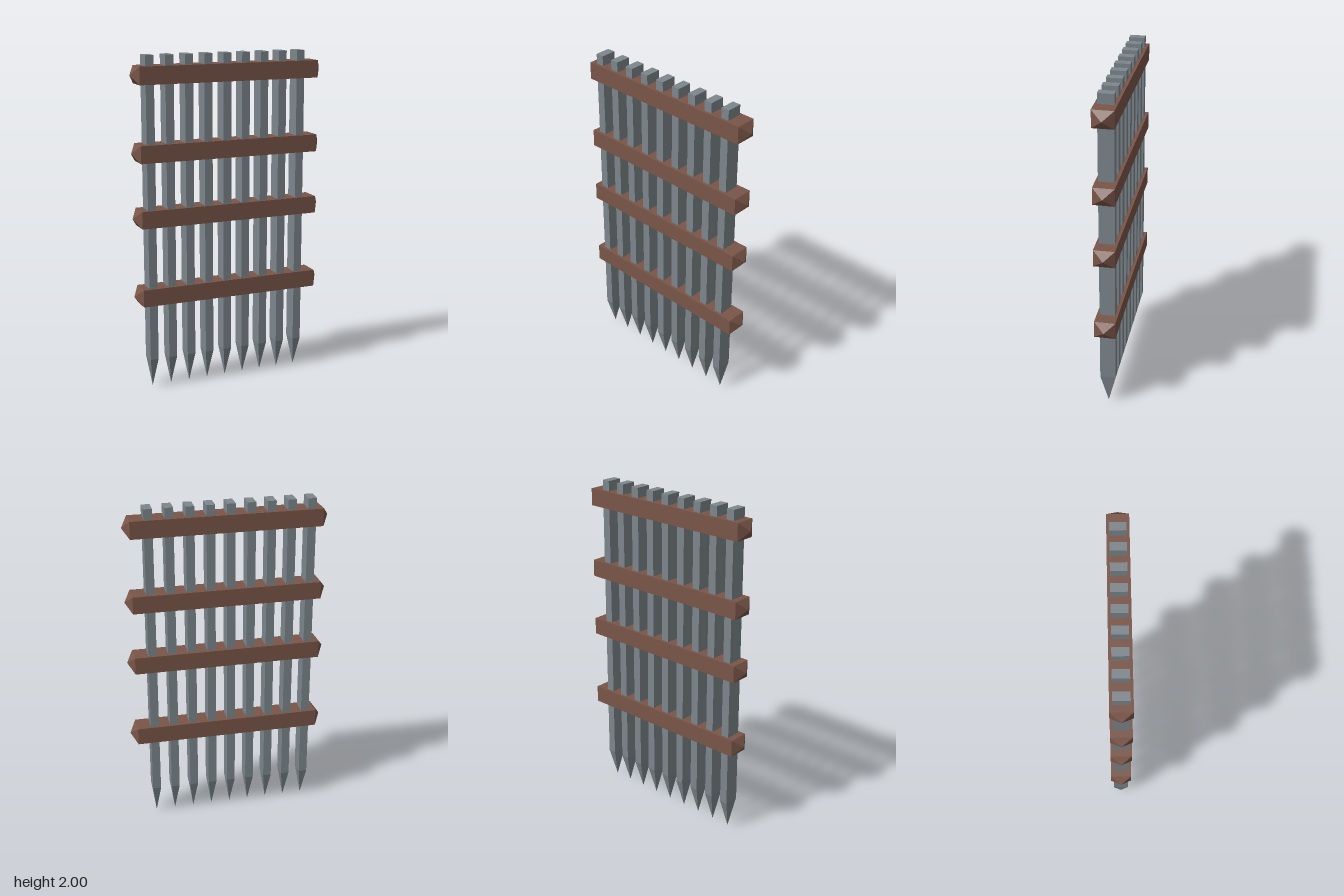
import * as THREE from 'three';

export function createModel() {
  const model = new THREE.Group();
  model.name = 'portcullis';

  const iron = new THREE.MeshStandardMaterial({ color: 0x7d868c, flatShading: true });
  iron.name = 'grey iron';
  const wood = new THREE.MeshStandardMaterial({ color: 0x795548, flatShading: true });
  wood.name = 'brown wood';

  // Open pyramid with a w x d base at y = 0 and its point at y = h
  const pyramid = (w, d, h) =>
    new THREE.ConeGeometry(Math.SQRT1_2, 1, 4, 1, true)
      .rotateY(Math.PI / 4)
      .translate(0, 0.5, 0)
      .scale(w, h, d);

  const add = (parent, name, geometry, material) => {
    const mesh = new THREE.Mesh(geometry, material);
    mesh.name = name;
    parent.add(mesh);
  };

  // Upright bars with spikes at the bottom
  const barW = 0.05, barD = 0.093, spikeTop = 0.185;
  const shaft = new THREE.BoxGeometry(barW, 2 - spikeTop, barD).translate(0, (2 + spikeTop) / 2, 0);
  const spike = pyramid(barW, barD, spikeTop).rotateX(Math.PI).translate(0, spikeTop, 0);
  for (let i = 0; i < 9; i++) {
    const bar = new THREE.Group();
    bar.name = `bar${i + 1}`;
    bar.position.x = -0.495 + i * 0.1186;
    add(bar, 'barShaft', shaft, iron);
    add(bar, 'barSpike', spike, iron);
    model.add(bar);
  }

  // Cross rails with a pyramid point at each end
  const railH = 0.104, railD = 0.125, half = 0.56, point = 0.04;
  const beam = new THREE.BoxGeometry(half * 2, railH, railD);
  const leftPoint = pyramid(railH, railD, point).rotateZ(-Math.PI / 2).translate(half, 0, 0);
  const rightPoint = pyramid(railH, railD, point).rotateZ(Math.PI / 2).translate(-half, 0, 0);
  [0.578, 1.053, 1.438, 1.887].forEach((y, i) => {
    const rail = new THREE.Group();
    rail.name = `rail${i + 1}`;
    rail.position.y = y;
    add(rail, 'railBeam', beam, wood);
    add(rail, 'railLeftPoint', leftPoint, wood);
    add(rail, 'railRightPoint', rightPoint, wood);
    model.add(rail);
  });

  return model;
}
